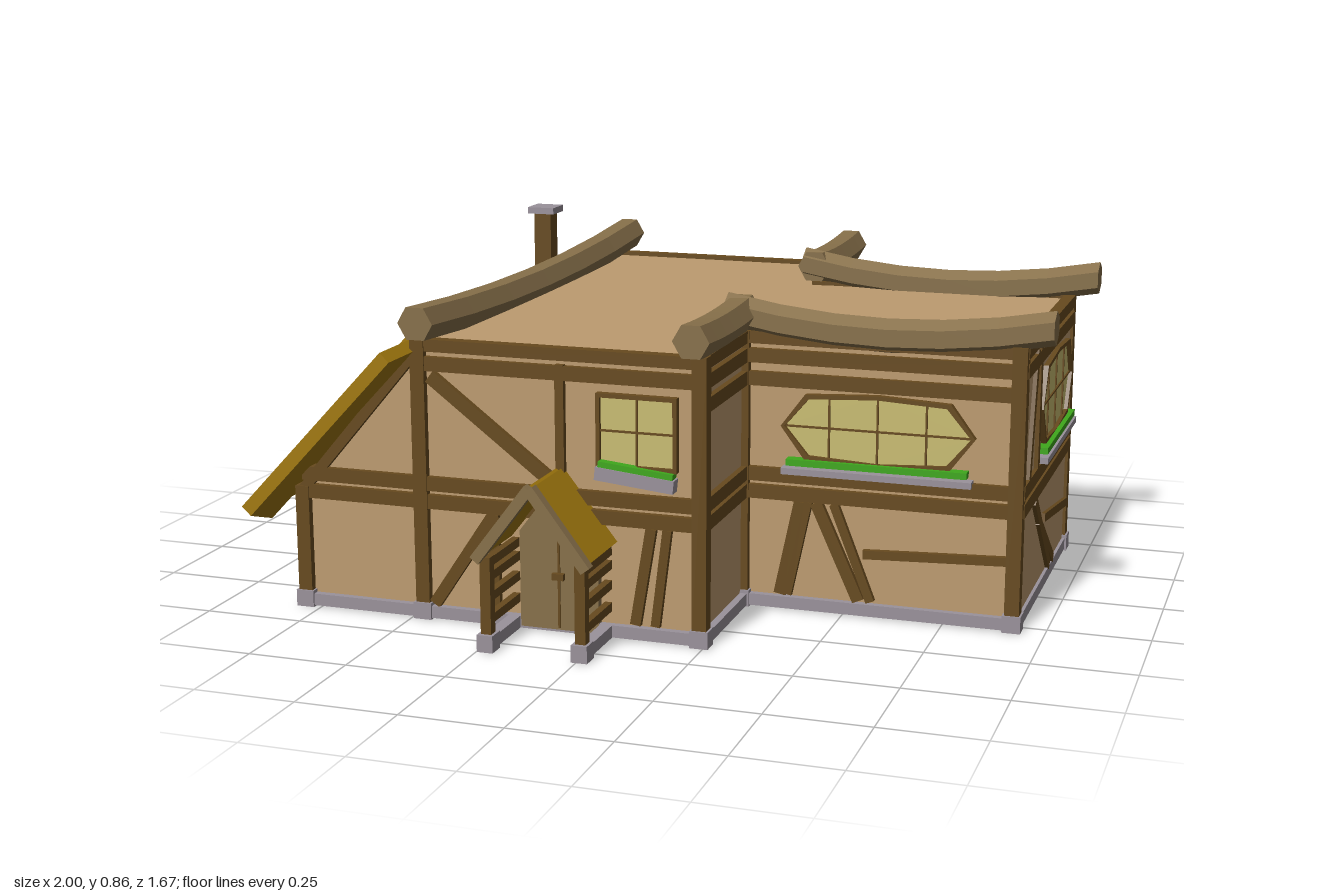
import * as THREE from 'three';

const mat = (name, color, extra = {}) => {
  const m = new THREE.MeshStandardMaterial({ color, ...extra });
  m.name = name;
  return m;
};

export function createModel() {
  const M = {
    plaster: mat('plaster', 0xbd9b70),
    beam: mat('dark beam', 0x674a1e),
    log: mat('log wood', 0x87704a, { flatShading: true }),
    roof: mat('golden roof', 0xa37a0e),
    stone: mat('grey stone', 0x9a929b),
    glass: mat('window glass', 0xc9bd72, { side: THREE.DoubleSide }),
    green: mat('green plants', 0x3fa81c),
  };
  const house = new THREE.Group();
  house.name = 'house';

  const add = (parent, name, geo, m, x = 0, y = 0, z = 0) => {
    const mesh = new THREE.Mesh(geo, m);
    mesh.name = name;
    mesh.position.set(x, y, z);
    parent.add(mesh);
    return mesh;
  };
  const box = (parent, name, m, x, y, z, w, h, d) =>
    add(parent, name, new THREE.BoxGeometry(w, h, d), m, x, y, z);
  const poly = (pts) => new THREE.Shape(pts.map(([x, y]) => new THREE.Vector2(x, y)));
  const extrude = (shape, depth) => new THREE.ExtrudeGeometry(shape, { depth, bevelEnabled: false });
  // straight timber between two points of a wall plane
  const bar = (parent, [x1, y1, x2, y2, w = 0.03], name = 'timber', m = M.beam, d = 0.03, z = 0) => {
    const b = box(parent, name, m, (x1 + x2) / 2, (y1 + y2) / 2, z, Math.hypot(x2 - x1, y2 - y1), w, d);
    b.rotation.z = Math.atan2(y2 - y1, x2 - x1);
    return b;
  };
  // wall plane: local x runs along the wall, local z points outwards
  const wall = (name, x, z, turn, bars) => {
    const g = new THREE.Group();
    g.name = name;
    g.position.set(x, 0, z);
    g.rotation.y = turn;
    house.add(g);
    bars.forEach((b) => bar(g, b));
    return g;
  };
  // horizontal timbers shared by the walls
  const belts = (a, b, ys) => ys.map(([y, w]) => [a, y, b, y, w]);
  const BELT = [[0.343, 0.035], [0.298, 0.035]];
  const HIGH = [[0.685, 0.03], [0.64, 0.035]];
  const LOW = [[0.583, 0.035]];

  // window with frame, glazing bars, sill and planting
  const win = (parent, cx, cy, w, h, pointed, tilt = 0) => {
    const g = new THREE.Group();
    g.name = 'window';
    g.position.set(cx, cy, 0);
    parent.add(g);
    const a = w / 2, b = h / 2;
    const outline = (s) => (pointed
      ? [[-a, 0], [-a * 0.75, -b * 0.9], [0, -b], [a * 0.75, -b * 0.9], [a, 0], [a * 0.75, b * 0.9], [0, b], [-a * 0.75, b * 0.9]]
      : [[-a, -b], [a, -b], [a, b], [-a, b]]).map(([x, y]) => [x - Math.sign(x) * s, y - Math.sign(y) * s]);
    add(g, 'glass', new THREE.ShapeGeometry(poly(outline(0.004))), M.glass, 0, 0, 0.008);
    const ring = poly(outline(0));
    ring.holes.push(poly(outline(0.01)));
    add(g, 'windowFrame', extrude(ring, 0.018), M.beam);
    const xs = pointed ? [-a * 0.5, 0, a * 0.5] : [0];
    xs.forEach((x) => box(g, 'glazingBar', M.beam, x, 0, 0.008, 0.005, h * 0.94, 0.008));
    box(g, 'glazingBar', M.beam, 0, 0, 0.008, w * 0.97, 0.005, 0.008);
    const sill = new THREE.Group();
    sill.name = 'windowBox';
    sill.position.set(0, -b - 0.012, 0.015);
    sill.rotation.z = tilt;
    g.add(sill);
    box(sill, 'sill', M.stone, 0, -0.008, 0, w * 0.98, pointed ? 0.016 : 0.032, 0.036);
    box(sill, 'plants', M.green, 0, 0.014, 0, w * 0.93, 0.016, 0.03);
  };

  // plaster body: sloped main block and side wing
  const profile = poly([[-0.79, 0.005], [0.24, 0.005], [0.24, 0.69], [-0.47, 0.69], [-0.79, 0.3]]);
  add(house, 'mainBlock', extrude(profile, 1.39), M.plaster, 0, 0, -0.77);
  box(house, 'wing', M.plaster, 0.585, 0.3475, -0.085, 0.69, 0.685, 0.73);

  // posts with stone feet
  const posts = [[-0.79, 0.62, 0.31], [-0.79, -0.765, 0.31], [-0.47, 0.62], [-0.47, -0.765], [0.24, 0.62], [0.24, -0.765],
    [0.24, 0.28], [0.24, -0.45], [0.92, 0.28], [0.92, -0.45]];
  posts.forEach(([x, z, h = 0.7]) => {
    box(house, 'post', M.beam, x, h / 2 + 0.01, z, 0.036, h - 0.02, 0.036);
    box(house, 'postFoot', M.stone, x, 0.021, z, 0.046, 0.042, 0.046);
  });

  // stone sills around the footprint
  const plan = [[-0.79, 0.62], [0.24, 0.62], [0.24, 0.28], [0.92, 0.28], [0.92, -0.45], [0.24, -0.45], [0.24, -0.765], [-0.79, -0.765]];
  plan.forEach(([x, z], i) => {
    const [x2, z2] = plan[(i + 1) % plan.length];
    box(house, 'stoneSill', M.stone, (x + x2) / 2, 0.019, (z + z2) / 2,
      Math.abs(x2 - x) + 0.036, 0.03, Math.abs(z2 - z) + 0.036);
  });

  // timber framing, wall by wall
  const front = wall('frontWall', 0, 0.62, 0, [
    ...belts(-0.79, 0.24, BELT), ...belts(-0.47, 0.24, HIGH),
    [-0.44, 0.04, -0.28, 0.28], [-0.28, 0.04, -0.28, 0.28, 0.026],
    [0.08, 0.04, 0.12, 0.28, 0.026], [0.13, 0.04, 0.16, 0.28, 0.022],
    [-0.44, 0.61, -0.11, 0.36, 0.034], [-0.107, 0.36, -0.107, 0.66, 0.022], [-0.79, 0.3, -0.47, 0.675, 0.026],
  ]);
  win(front, 0.085, 0.51, 0.2, 0.18, false, -0.1);

  const wingFront = wall('wingFrontWall', 0, 0.28, 0, [
    ...belts(0.24, 0.92, [...BELT, ...HIGH, ...LOW]),
    [0.34, 0.04, 0.39, 0.28], [0.54, 0.04, 0.43, 0.28], [0.57, 0.04, 0.475, 0.28, 0.022],
    [0.36, 0.04, 0.41, 0.28, 0.02], [0.55, 0.16, 0.91, 0.175, 0.022],
  ]);
  win(wingFront, 0.58, 0.47, 0.48, 0.18, true);

  const wingEnd = wall('wingEndWall', 0.925, 0, Math.PI / 2, [
    ...belts(-0.28, 0.45, [...BELT, ...HIGH]),
    [-0.1, 0.28, 0.16, 0.04, 0.028], [-0.03, 0.21, 0.22, 0.04, 0.025], [0.05, 0.195, 0.43, 0.137, 0.022],
    [-0.21, 0.36, -0.13, 0.665, 0.026], [-0.085, 0.36, -0.085, 0.665, 0.026],
  ]);
  win(wingEnd, 0.18, 0.5, 0.48, 0.22, true);

  const wingBack = wall('wingBackWall', 0, -0.45, Math.PI, [
    ...belts(-0.92, -0.24, [...BELT, ...HIGH, ...LOW]),
    [-0.9, 0.27, -0.55, 0.04], [-0.5, 0.04, -0.42, 0.28], [-0.44, 0.17, -0.26, 0.13, 0.022],
  ]);
  win(wingBack, -0.585, 0.485, 0.33, 0.16, false);

  const back = wall('backWall', 0, -0.765, Math.PI, [
    ...belts(-0.24, 0.79, BELT), ...belts(-0.24, 0.47, HIGH),
    [-0.14, 0.04, -0.17, 0.28], [0.03, 0.04, 0.06, 0.28], [-0.15, 0.17, 0.05, 0.16, 0.024],
    [0.15, 0.28, 0.43, 0.05], [0.52, 0.26, 0.75, 0.06], [0.79, 0.3, 0.47, 0.675, 0.026], [0.07, 0.36, 0.07, 0.66, 0.024],
  ]);
  [-0.08, 0.27].forEach((x) => win(back, x, 0.49, 0.2, 0.18, false));

  wall('frontReturnWall', 0.24, 0, Math.PI / 2, belts(-0.62, -0.28, [...BELT, ...HIGH, ...LOW]));
  wall('backReturnWall', 0.24, 0, Math.PI / 2, belts(0.45, 0.765, [...BELT, ...HIGH, ...LOW]));
  wall('lowSideWall', -0.79, 0, -Math.PI / 2, belts(-0.765, 0.62, [[0.29, 0.035]]));

  // sagging six-sided ridge logs
  const logBeam = (name, alongX, from, to, across, yEnd, sag, r = 0.045) => {
    const len = to - from;
    const geo = new THREE.CylinderGeometry(r, r, len, 6, 6).rotateY(Math.PI / 6);
    const p = geo.attributes.position;
    if (alongX) geo.rotateZ(Math.PI / 2); else geo.rotateX(Math.PI / 2);
    for (let i = 0; i < p.count; i++) {
      const t = (alongX ? p.getX(i) : p.getZ(i)) / (len / 2);
      p.setY(i, p.getY(i) - sag * (1 - t * t));
    }
    geo.computeVertexNormals();
    const mid = (from + to) / 2;
    add(house, name, geo, M.log, alongX ? mid : across, yEnd, alongX ? across : mid);
  };
  logBeam('mainRidgeLog', false, -0.84, 0.68, -0.452, 0.745, 0.03);
  [0.278, -0.45].forEach((z) => logBeam('wingLog', true, 0.2, 1.0, z, 0.748, 0.042, 0.042));
  logBeam('frontEaveLog', false, 0.25, 0.67, 0.23, 0.742, 0.008);
  logBeam('backEaveLog', false, -0.84, -0.42, 0.23, 0.742, 0.008);

  // uneven roof panels: z range, lower edge x at each end, lift above the slope
  const down = new THREE.Vector3(-0.685, -0.7285, 0);
  const up = new THREE.Vector3(-0.7285, 0.685, 0);
  const basis = new THREE.Matrix4().makeBasis(down, new THREE.Vector3(0, 0, 1), up);
  [[-0.84, -0.47, -0.945, -1.0, 0.05], [-0.48, -0.2, -0.96, -0.96, 0.032], [-0.21, -0.06, -0.96, -0.92, 0.015],
    [-0.07, 0.3, -0.97, -1.0, 0.05], [0.28, 0.56, -0.95, -0.95, 0.032], [0.54, 0.77, -0.95, -0.88, 0.012],
  ].forEach(([z0, z1, x0, x1, lift]) => {
    const reach = (x) => (-0.47 - lift * 0.73 - 0.02 - x) / 0.685;
    const geo = extrude(poly([[0, z0], [reach(x0), z0], [reach(x1), z1], [0, z1]]), 0.032).applyMatrix4(basis);
    add(house, 'roofPanel', geo, M.roof, -0.47 + up.x * lift, 0.66 + up.y * lift, 0);
  });

  // chimney
  box(house, 'chimney', M.beam, -0.595, 0.7, -0.52, 0.05, 0.3, 0.05);
  box(house, 'chimneyCap', M.stone, -0.595, 0.851, -0.52, 0.078, 0.018, 0.078);

  // door and porch
  const porch = new THREE.Group();
  porch.name = 'porch';
  porch.position.set(-0.11, 0, 0);
  house.add(porch);
  add(porch, 'door', extrude(poly([[-0.1, 0.01], [0.1, 0.01], [0.1, 0.25], [0, 0.38], [-0.1, 0.25]]), 0.02), M.log, 0, 0, 0.62);
  box(porch, 'doorSeam', M.beam, 0, 0.19, 0.641, 0.006, 0.35, 0.004);
  box(porch, 'doorHandle', M.beam, 0, 0.145, 0.646, 0.03, 0.016, 0.014);
  for (const s of [-1, 1]) {
    box(porch, 'porchPost', M.beam, s * 0.118, 0.125, 0.8, 0.026, 0.21, 0.026);
    box(porch, 'porchFoot', M.stone, s * 0.118, 0.021, 0.8, 0.04, 0.042, 0.046);
    box(porch, 'porchSill', M.stone, s * 0.118, 0.019, 0.71, 0.03, 0.03, 0.18);
    [0.075, 0.13, 0.18, 0.215].forEach((y) => box(porch, 'porchRail', M.beam, s * 0.118, y, 0.71, 0.018, 0.022, 0.18));
    bar(porch, [s * 0.135, 0.233, 0, 0.405, 0.016], 'porchRoof', M.roof, 0.19, 0.715);
    bar(porch, [s * 0.138, 0.225, 0, 0.407, 0.026], 'porchGable', M.log, 0.026, 0.817);
  }
  return house;
}
